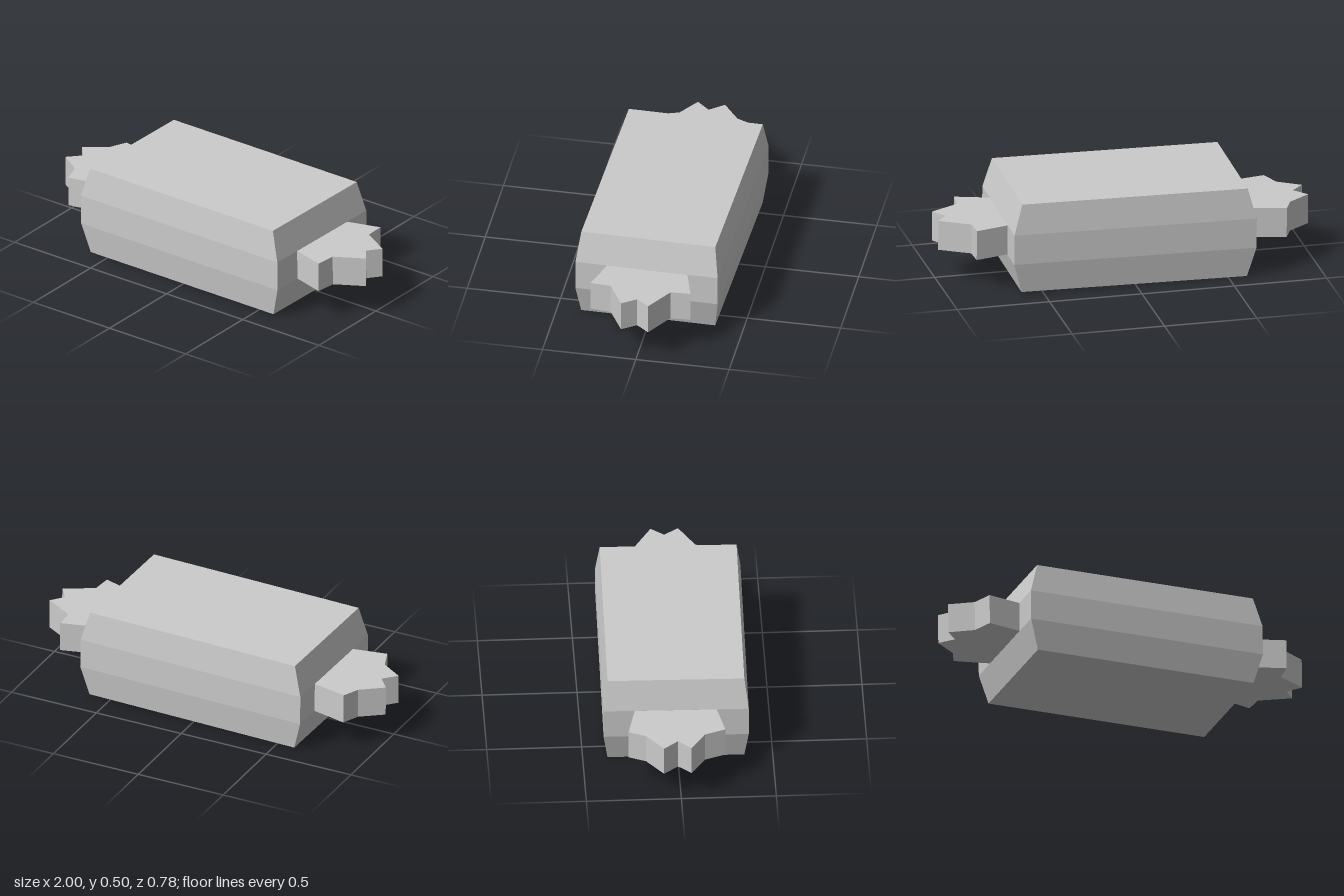
import * as THREE from 'three';

const material = new THREE.MeshStandardMaterial({ color: 0xcccccc, flatShading: true });

// Block with straight middle band, tapering towards top and bottom
function makeBody() {
  const geo = new THREE.BoxGeometry(2, 2, 2, 1, 3, 1);
  const p = geo.attributes.position;
  for (let i = 0; i < p.count; i++) {
    const end = Math.abs(p.getY(i)) > 0.9;
    p.setXYZ(i,
      p.getX(i) * (end ? 0.608 : 0.653),
      p.getY(i) * 0.245,
      p.getZ(i) * (end ? 0.36 : 0.382));
  }
  geo.computeVertexNormals();
  const mesh = new THREE.Mesh(geo, material);
  mesh.name = 'candyBody';
  return mesh;
}

// Flat jagged wrapper end, outlined in [x, z]
function makeWrapperEnd(name, outline) {
  const shape = new THREE.Shape(outline.map(([x, z]) => new THREE.Vector2(x, -z)));
  const geo = new THREE.ExtrudeGeometry(shape, { depth: 0.162, bevelEnabled: false });
  geo.translate(0, 0, -0.081);
  geo.rotateX(-Math.PI / 2);
  const mesh = new THREE.Mesh(geo, material);
  mesh.name = name;
  return mesh;
}

export function createModel() {
  const model = new THREE.Group();
  model.name = 'wrappedCandy';

  const candy = new THREE.Group();
  candy.name = 'candy';
  candy.add(
    makeBody(),
    makeWrapperEnd('leftWrapperEnd', [
      [0.62, -0.21], [0.831, -0.273], [0.837, -0.168], [0.995, -0.08], [0.94, -0.01],
      [0.996, 0.065], [0.843, 0.152], [0.834, 0.262], [0.62, 0.202],
    ]),
    makeWrapperEnd('rightWrapperEnd', [
      [-0.62, -0.212], [-0.844, -0.257], [-0.883, -0.166], [-1.0, -0.075], [-0.935, 0],
      [-0.999, 0.07], [-0.878, 0.144], [-0.836, 0.253], [-0.62, 0.207],
    ]),
  );

  // The candy lies very slightly askew
  candy.rotation.set(0, -0.0155, 0.0085);
  candy.position.y = 0.25;
  model.add(candy);
  return model;
}
